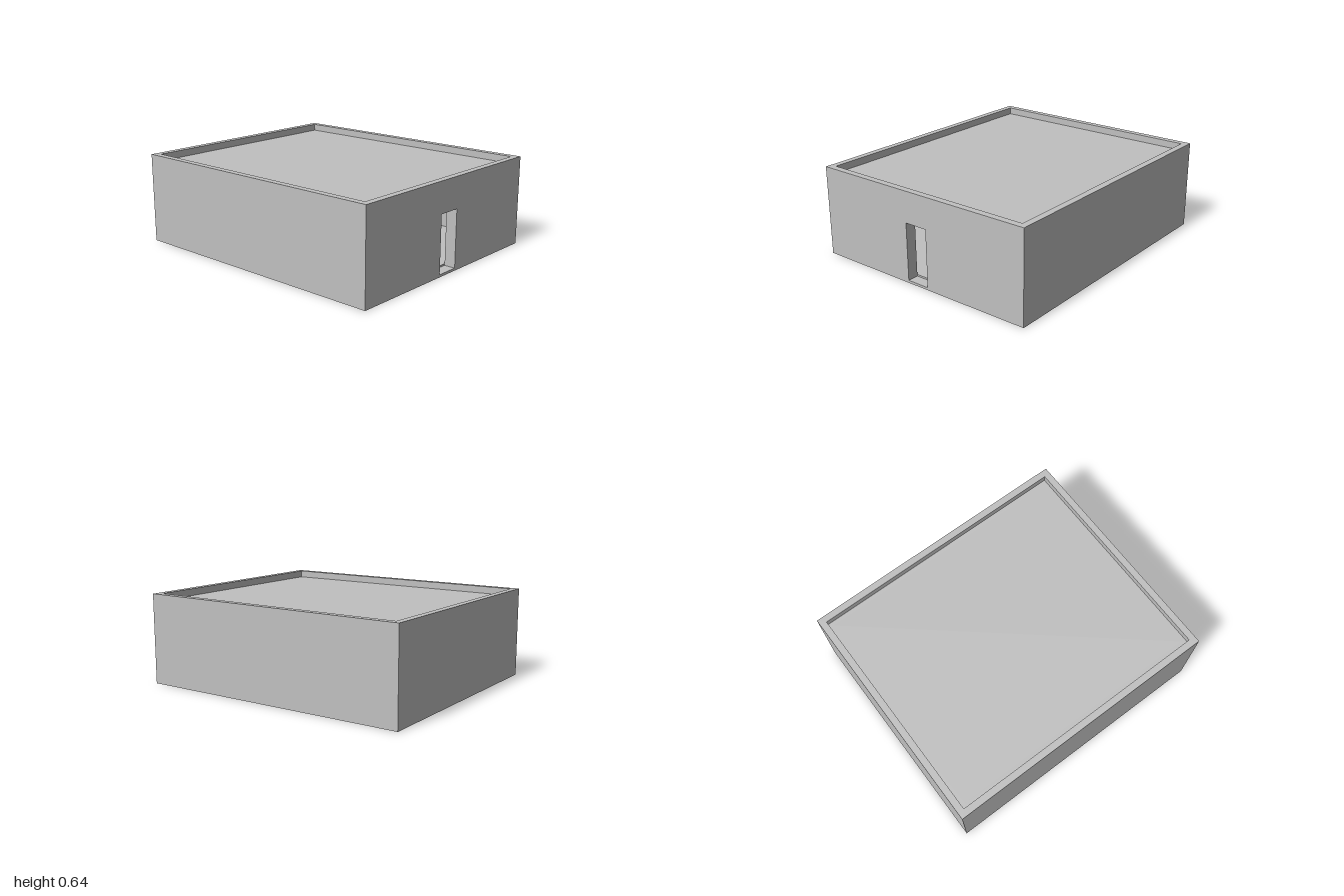
import * as THREE from 'three';

const W = 1.7, D = 2, H = 0.645;    // outer size
const ROOF = 0.595, WALL = 0.08;    // roof deck height, wall thickness
const RIM = 0.048, FLOOR = 0.03;    // parapet thickness, floor height

// Rectangle outline as a shape or a hole
function rect(Type, x0, y0, x1, y1) {
  const p = new Type();
  p.moveTo(x0, y0);
  p.lineTo(x1, y0);
  p.lineTo(x1, y1);
  p.lineTo(x0, y1);
  p.closePath();
  return p;
}

export function createModel() {
  const model = new THREE.Group();
  model.name = 'flatRoofBuilding';
  const plaster = new THREE.MeshStandardMaterial({ color: 0xc0c0c0 });
  plaster.name = 'grey plaster';

  function add(name, geometry, x, y, z) {
    const mesh = new THREE.Mesh(geometry, plaster);
    mesh.name = name;
    mesh.position.set(x, y, z);
    model.add(mesh);
    return mesh;
  }
  const box = (name, w, h, d, x, y, z) => add(name, new THREE.BoxGeometry(w, h, d), x, y, z);

  // Front wall with the doorway cut through
  const front = rect(THREE.Shape, -W / 2, 0, W / 2, ROOF);
  front.holes.push(rect(THREE.Path, -0.1, 0.018, 0.07, 0.425));
  add('frontWall', new THREE.ExtrudeGeometry(front, { depth: WALL, bevelEnabled: false }), 0, 0, D / 2 - WALL);

  // Back and side walls
  box('backWall', W, ROOF, WALL, 0, ROOF / 2, -D / 2 + WALL / 2);
  for (const [name, s] of [['leftWall', 1], ['rightWall', -1]]) {
    box(name, WALL, ROOF, D - 2 * WALL, s * (W - WALL) / 2, ROOF / 2, 0);
  }

  // Floor and roof slabs between the walls
  box('floor', W - 2 * WALL, FLOOR, D - 2 * WALL, 0, FLOOR / 2, 0);
  box('roofDeck', W - 2 * WALL, 0.05, D - 2 * WALL, 0, ROOF - 0.025, 0);

  // Parapet rim around the roof
  const rim = rect(THREE.Shape, -W / 2, -D / 2, W / 2, D / 2);
  rim.holes.push(rect(THREE.Path, -W / 2 + RIM, -D / 2 + RIM, W / 2 - RIM, D / 2 - RIM));
  const parapet = new THREE.ExtrudeGeometry(rim, { depth: H - ROOF, bevelEnabled: false });
  parapet.rotateX(-Math.PI / 2);
  add('parapet', parapet, 0, ROOF, 0);

  return model;
}
